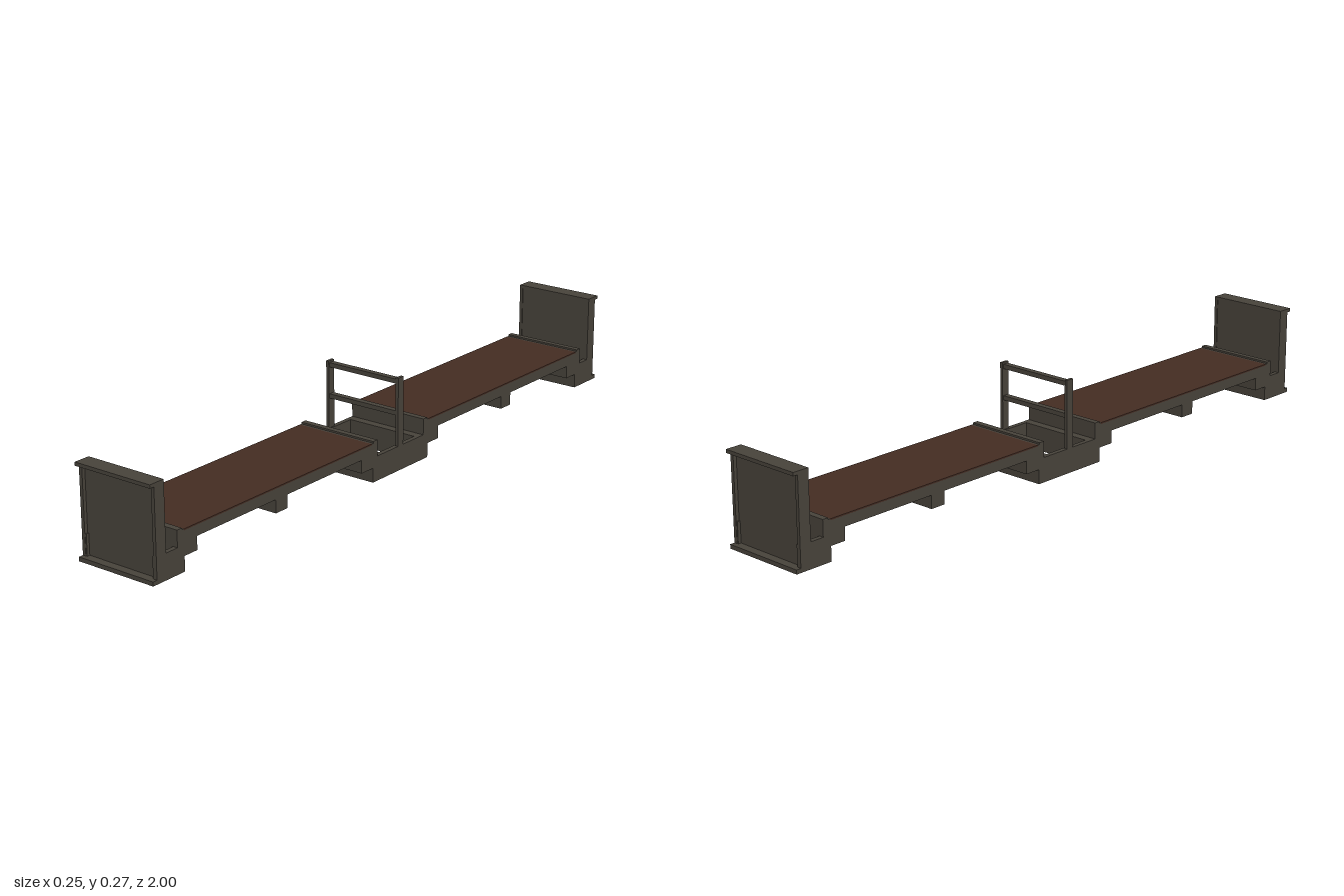
import * as THREE from 'three';

const HALF = 0.126; // half width of the wagon

export function createModel() {
  const steel = new THREE.MeshStandardMaterial({ color: 0x49443c });
  steel.name = 'dark steel';
  const planks = new THREE.MeshStandardMaterial({ color: 0x452d23 });
  planks.name = 'brown planks';

  const model = new THREE.Group();
  model.name = 'wellWagon';

  // Box given by its limits on each axis
  function box(parent, name, x, y, z, material = steel) {
    const geometry = new THREE.BoxGeometry(x[1] - x[0], y[1] - y[0], Math.abs(z[1] - z[0]));
    const mesh = new THREE.Mesh(geometry, material);
    mesh.position.set((x[0] + x[1]) / 2, (y[0] + y[1]) / 2, (z[0] + z[1]) / 2);
    mesh.name = name;
    parent.add(mesh);
  }
  const full = [-HALF, HALF];
  const inner = [-0.112, 0.112];
  const sides = [[-HALF, -0.112], [0.112, HALF]];

  for (const s of [1, -1]) {
    const half = new THREE.Group();
    half.name = s > 0 ? 'frontUnit' : 'rearUnit';
    model.add(half);
    const add = (name, x, y, a, b, material) => box(half, name, x, y, [s * a, s * b], material);

    // Plank floor on a thin steel deck
    add('deckPlate', inner, [0.1, 0.11], 0.13, 0.885);
    add('plankFloor', full, [0.11, 0.114], 0.13, 0.885, planks);

    // Side sills and the narrower centre sill
    for (const x of sides) add('sideSill', x, [0.08, 0.11], 0.105, 0.91);
    add('centreSill', [-0.022, 0.022], [0.05, 0.1], 0.13, 0.885);

    // Cross bearers under the deck
    for (const [a, b] of [[0.125, 0.175], [0.488, 0.535], [0.838, 0.885]])
      add('crossBearer', full, [0.042, 0.08], a, b);

    // Raised ends of the deck
    for (const [a, b, lip] of [[0.105, 0.13, 0.105], [0.885, 0.91, 0.892]]) {
      add('deckEnd', full, [0.07, 0.114], a, b);
      add('deckLip', full, [0.11, 0.119], lip, lip + 0.018);
    }

    // Low frame at the end, with a slot in front of the bulkhead
    for (const x of sides) add('endFrameSide', x, [0, 0.072], 0.885, 0.985);
    add('endFrameStep', inner, [0, 0.072], 0.885, 0.91);
    add('endFrameFloor', inner, [0, 0.03], 0.91, 0.94);

    // Bulkhead with side posts and projecting flanges
    add('bulkheadPanel', [-0.116, 0.116], [0.012, 0.256], 0.953, 0.976);
    for (const x of [[-HALF, -0.116], [0.116, HALF]])
      add('bulkheadPost', x, [0.012, 0.256], 0.951, 0.986);
    add('bulkheadTopFlange', full, [0.256, 0.266], 0.951, 1);
    add('bulkheadBottomFlange', full, [0, 0.012], 0.953, 1);

    // End beam of the open frame between the decks
    add('middleFrameBeam', inner, [0, 0.072], 0.08, 0.125);
  }

  // Open middle frame and hand rail
  for (const x of sides) box(model, 'middleFrameSide', x, [0, 0.072], [-0.125, 0.125]);
  for (const x of [[-HALF, -0.117], [0.117, HALF]])
    box(model, 'railPost', x, [0.072, 0.27], [-0.012, 0.012]);
  for (const y of [0.16, 0.252])
    box(model, 'railBar', [-0.117, 0.117], [y, y + 0.013], [-0.009, 0.009]);

  return model;
}
